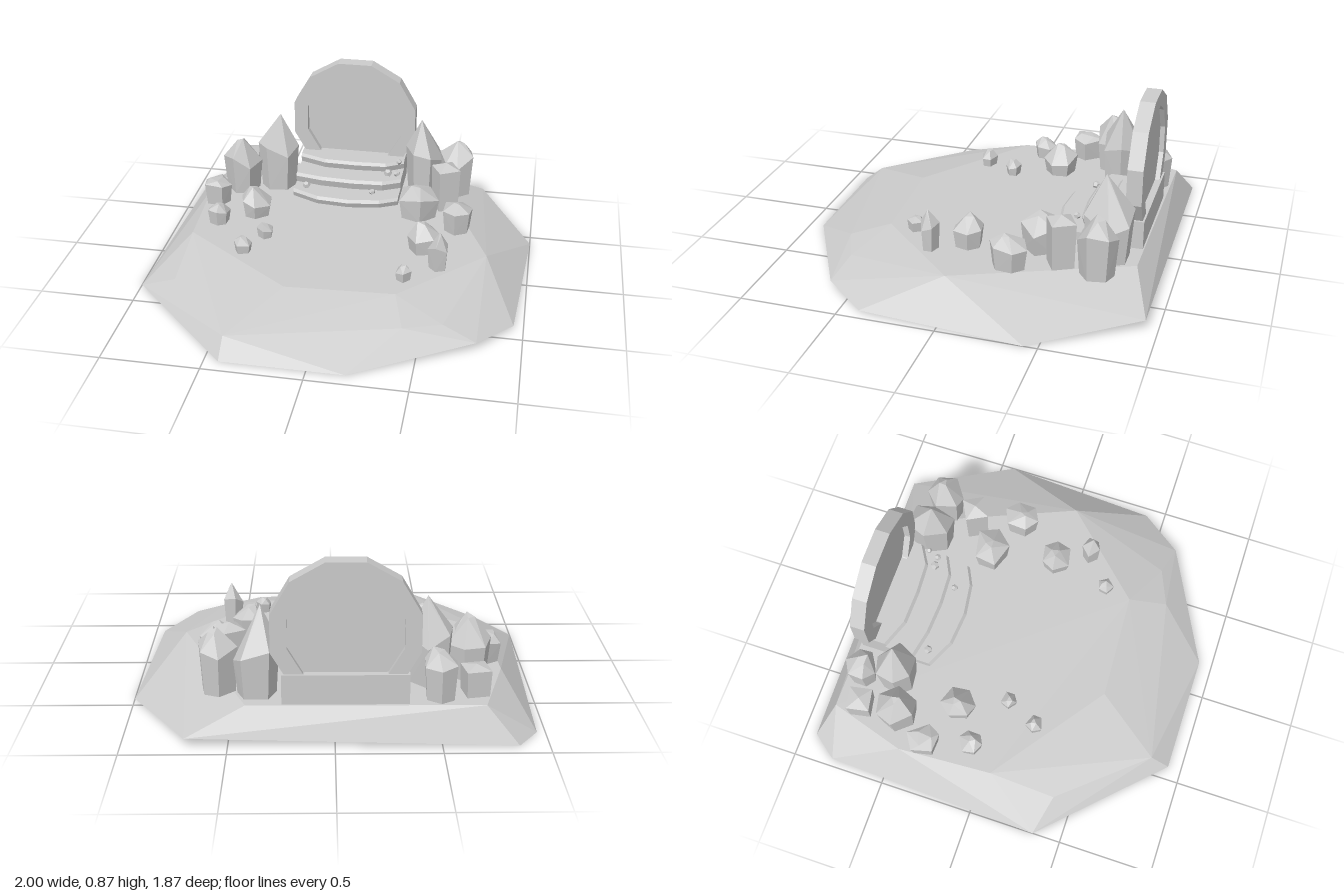
import * as THREE from 'three';
import { ConvexGeometry } from 'three/addons/geometries/ConvexGeometry.js';

const stone = new THREE.MeshStandardMaterial({ color: 0xcccccc, flatShading: true, side: THREE.DoubleSide });
const GROUND = 0.17;

function add(parent, name, geometry) {
  const mesh = new THREE.Mesh(geometry, stone);
  mesh.name = name;
  parent.add(mesh);
  return mesh;
}

function seeded(seed) {
  let s = seed * 7919 + 17;
  return () => (s = (s * 16807) % 2147483647) / 2147483647;
}

// Faceted mound: hull of rim, slope and plateau corners, left open underneath
function moundGeometry() {
  const corners = [
    [-0.86, 0, -0.93], [0.7, 0.05, -0.94], [1, 0, -0.43], [0.95, 0.01, 0.4], [0.78, 0.04, 0.62],
    [0.19, 0, 0.93], [-0.43, 0, 0.93], [-1, 0, 0.35], [-0.96, 0, -0.8],
    [-0.8, 0.09, 0.4], [-0.43, 0.08, 0.83], [0.42, 0.11, 0.66], [0.61, 0.1, 0.58],
    [-0.71, GROUND, -0.85], [0.42, GROUND, -0.84], [0.78, GROUND, 0.02], [0.36, GROUND, 0.46],
    [-0.2, GROUND, 0.49], [-0.8, GROUND, 0.05], [-0.83, GROUND, -0.45],
  ].map((p) => new THREE.Vector3(...p));
  const hull = new ConvexGeometry(corners);
  const pos = hull.attributes.position, nor = hull.attributes.normal;
  const kept = [];
  for (let i = 0; i < pos.count; i += 3) {
    if (nor.getY(i) < 0) continue;
    for (let k = i; k < i + 3; k++) kept.push(pos.getX(k), pos.getY(k), pos.getZ(k));
  }
  const g = new THREE.BufferGeometry();
  g.setAttribute('position', new THREE.Float32BufferAttribute(kept, 3));
  g.computeVertexNormals();
  return g;
}

// Regular twelve-sided outline with a flat top
function dodecagon(apothem, Type = THREE.Shape) {
  const r = apothem / Math.cos(Math.PI / 12);
  const pts = [];
  for (let i = 0; i < 12; i++) {
    const a = ((i + 0.5) * Math.PI) / 6;
    pts.push(new THREE.Vector2(r * Math.cos(a), r * Math.sin(a)));
  }
  return new Type(pts);
}

// Crystal: narrow foot, wider shoulder, faceted tip
function crystalGeometry(rx, rz, height, sides, seed, shoulder, tipSize) {
  const rnd = seeded(seed);
  const turn = rnd() * Math.PI;
  const pts = [];
  for (let i = 0; i < sides; i++) {
    const a = turn + ((i + (rnd() - 0.5) * 0.35) / sides) * Math.PI * 2;
    const c = Math.cos(a) * rx, s = Math.sin(a) * rz;
    const y = height * (shoulder + (rnd() - 0.5) * 0.22);
    pts.push(new THREE.Vector3(c * 0.85, 0, s * 0.85), new THREE.Vector3(c, y, s));
  }
  const tx = (rnd() - 0.5) * rx * 0.4, tz = (rnd() - 0.5) * rz * 0.4;
  for (let i = 0; i < 3; i++) {
    const a = turn + i * 2.1;
    pts.push(new THREE.Vector3(tx + Math.cos(a) * rx * tipSize, height * (i ? 0.94 : 1), tz + Math.sin(a) * rz * tipSize));
  }
  return new ConvexGeometry(pts);
}

// Square block with a shallow four-sided top
function blockGeometry(r, height, turn) {
  const pts = [new THREE.Vector3(0, height, 0)];
  for (let i = 0; i < 4; i++) {
    const a = turn + (i * Math.PI) / 2;
    const c = Math.cos(a) * r, s = Math.sin(a) * r;
    pts.push(new THREE.Vector3(c * 0.92, 0, s * 0.92), new THREE.Vector3(c, height * 0.88, s));
  }
  return new ConvexGeometry(pts);
}

export function createModel() {
  const model = new THREE.Group();
  add(model, 'mound', moundGeometry());

  // Round gate: ring frame and recessed panel
  const gate = new THREE.Group();
  gate.name = 'gate';
  gate.position.set(-0.05, 0.522, -0.825);
  const ring = dodecagon(0.35);
  ring.holes.push(dodecagon(0.272, THREE.Path));
  add(gate, 'gateFrame', new THREE.ExtrudeGeometry(ring, { depth: 0.078, bevelEnabled: false }));
  const panel = add(gate, 'gatePanel', new THREE.ExtrudeGeometry(dodecagon(0.275), { depth: 0.02, bevelEnabled: false }));
  panel.position.z = 0.025;
  model.add(gate);

  // Steps with bowed front edges: [bottom, top, front z at five stations]
  const stations = [-0.35, -0.2, -0.02, 0.15, 0.25];
  const steps = [
    [GROUND, 0.215, [-0.44, -0.37, -0.355, -0.38, -0.43]],
    [0.215, 0.27, [-0.53, -0.5, -0.49, -0.5, -0.55]],
    [0.27, 0.32, [-0.68, -0.625, -0.62, -0.63, -0.69]],
  ];
  for (const [bottom, top, fronts] of steps) {
    const pts = [[-0.35, -0.835], [0.25, -0.835]].flatMap(([x, z]) =>
      [bottom, top].map((y) => new THREE.Vector3(x, y, z)));
    stations.forEach((x, i) => {
      pts.push(new THREE.Vector3(x, bottom, fronts[i] - 0.012));
      pts.push(new THREE.Vector3(x, top - 0.015, fronts[i]));
      pts.push(new THREE.Vector3(x, top, fronts[i] - 0.015));
    });
    add(model, 'step', new ConvexGeometry(pts));
  }

  // Crystals: [x, z, half width, half depth, top height, sides, shoulder, tip size]
  const crystals = [
    [-0.5, -0.765, 0.085, 0.085, 0.42, 6, 0.7, 0.35],
    [-0.46, -0.58, 0.115, 0.11, 0.615, 6, 0.5, 0.08],
    [-0.655, -0.51, 0.11, 0.11, 0.49, 6, 0.6, 0.22],
    [-0.76, -0.33, 0.085, 0.09, 0.31, 5, 0.8, 0.5],
    [-0.51, -0.225, 0.09, 0.095, 0.335, 6, 0.5, 0.25],
    [-0.69, -0.095, 0.065, 0.065, 0.29, 6, 0.6, 0.3],
    [-0.405, 0.02, 0.045, 0.045, 0.255, 5, 0.55, 0.4],
    [-0.485, 0.19, 0.048, 0.05, 0.26, 5, 0.6, 0.35],
    [0.37, -0.69, 0.11, 0.135, 0.605, 6, 0.5, 0.08],
    [0.555, -0.67, 0.1, 0.1, 0.49, 6, 0.65, 0.25],
    [0.375, -0.345, 0.115, 0.1, 0.36, 5, 0.65, 0.25],
    [0.6, -0.245, 0.085, 0.1, 0.34, 6, 0.65, 0.2],
    [0.445, 0.01, 0.085, 0.085, 0.335, 6, 0.5, 0.3],
    [0.54, 0.18, 0.055, 0.05, 0.385, 5, 0.6, 0.1],
    [0.38, 0.315, 0.042, 0.045, 0.25, 5, 0.6, 0.4],
  ];
  crystals.forEach(([x, z, rx, rz, top, sides, shoulder, tip], i) => {
    const mesh = add(model, 'crystal', crystalGeometry(rx, rz, top - GROUND, sides, i + 3, shoulder, tip));
    mesh.position.set(x, GROUND, z);
  });

  // Square blocks among the crystals
  for (const [x, z, top, turn] of [[-0.67, -0.715, 0.32, 0.6], [0.51, -0.48, 0.44, 0.3]]) {
    add(model, 'block', blockGeometry(0.085, top - GROUND, turn)).position.set(x, GROUND, z);
  }

  // Pebbles on the steps
  const pebbles = [
    [0.17, 0.285, -0.6, 0.024], [0.22, 0.285, -0.6, 0.018], [0.225, 0.335, -0.65, 0.016],
    [-0.28, 0.228, -0.48, 0.022], [0.1, 0.228, -0.465, 0.018],
  ];
  pebbles.forEach(([x, y, z, r], i) => {
    const pebble = add(model, 'pebble', new THREE.DodecahedronGeometry(r));
    pebble.position.set(x, y, z);
    pebble.rotation.y = i;
  });
  return model;
}
